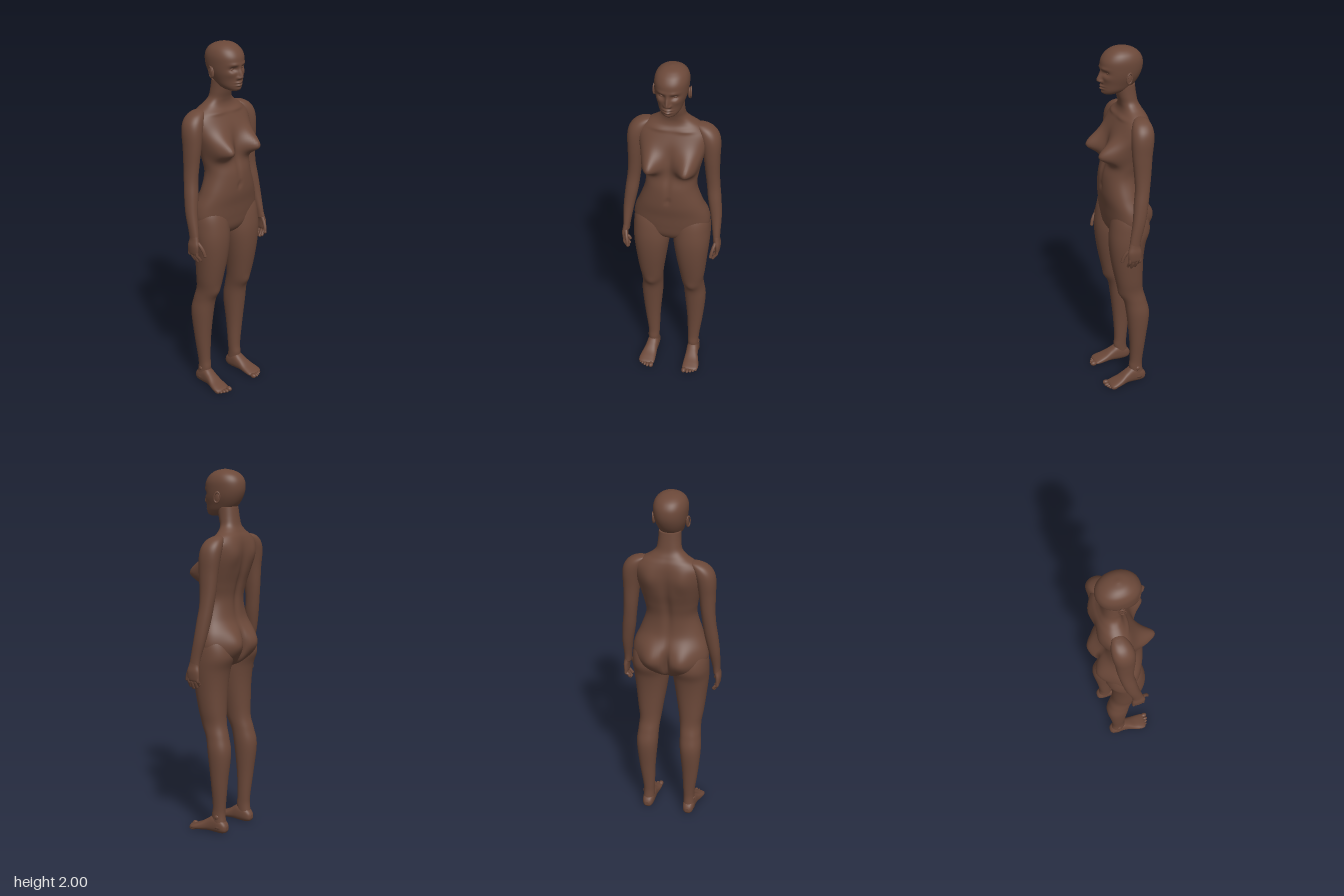
import * as THREE from 'three';

const skin = new THREE.MeshStandardMaterial({ color: 0x6b4839 });
skin.name = 'brown skin';

// Catmull-Rom value through four numbers
const spline = (a, b, c, d, t) =>
  0.5 * (2 * b + (c - a) * t + (2 * a - 5 * b + 4 * c - d) * t * t + (3 * b - a - 3 * c + d) * t * t * t);

// Loft along y through rows of [y, centreX, radiusX, zFront, zBack]
function loft(rows, { segs = 40, steps = 6, n = 2.15, shape = null } = {}) {
  const pos = [], index = [], last = rows.length - 1;
  const row = i => rows[Math.min(last, Math.max(0, i))];
  const rings = last * steps;
  for (let r = 0; r <= rings; r++) {
    const i = Math.min(last - 1, Math.floor(r / steps)), t = r / steps - i;
    const [y, cx, rx, zf, zb] = row(i).map((_, k) =>
      spline(row(i - 1)[k], row(i)[k], row(i + 1)[k], row(i + 2)[k], t));
    for (let j = 0; j < segs; j++) {
      const a = j / segs * Math.PI * 2, c = Math.cos(a), s = Math.sin(a);
      const p = new THREE.Vector3(
        cx + rx * Math.sign(c) * Math.abs(c) ** (2 / n), y,
        (zf + zb) / 2 + (zf - zb) / 2 * Math.sign(s) * Math.abs(s) ** (2 / n));
      if (shape) shape(p, s);
      pos.push(p.x, p.y, p.z);
    }
  }
  for (let r = 0; r < rings; r++) for (let j = 0; j < segs; j++) {
    const a = r * segs + j, b = r * segs + (j + 1) % segs;
    index.push(a, a + segs, b, b, a + segs, b + segs);
  }
  // close both ends
  const bottom = pos.length / 3, top = bottom + 1;
  const first = rows[0], end = rows[last];
  for (const e of [first, end]) pos.push(e[1], e[0], (e[3] + e[4]) / 2);
  for (let j = 0; j < segs; j++) {
    const k = (j + 1) % segs;
    index.push(bottom, j, k, top, rings * segs + k, rings * segs + j);
  }
  const g = new THREE.BufferGeometry();
  g.setAttribute('position', new THREE.Float32BufferAttribute(pos, 3));
  g.setIndex(index);
  g.computeVertexNormals();
  return g;
}

// Soft mound at (x, y); separate spread above and below the centre
const mound = (p, x, y, sx, up, down = up) => {
  const dx = (p.x - x) / sx, dy = (p.y - y) / (p.y > y ? up : down);
  return Math.exp(-(dx * dx + dy * dy));
};
const pair = (p, x, ...rest) => mound(p, x, ...rest) + mound(p, -x, ...rest);

function mirrored(geometry) {
  const g = geometry.clone().scale(-1, 1, 1), ix = g.index.array;
  for (let i = 0; i < ix.length; i += 3) [ix[i], ix[i + 1]] = [ix[i + 1], ix[i]];
  g.computeVertexNormals();
  return g;
}

function ball(x, y, z, rx, ry, rz, tilt = 0) {
  return new THREE.SphereGeometry(1, 20, 14).scale(rx, ry, rz).rotateX(tilt).translate(x, y, z);
}

export function createModel() {
  const model = new THREE.Group();
  model.name = 'standing figure';
  const add = (name, geometry) => {
    const mesh = new THREE.Mesh(geometry, skin);
    mesh.name = name;
    model.add(mesh);
  };
  const addPair = (name, geometry) => {
    add('left' + name, geometry);
    add('right' + name, mirrored(geometry));
  };

  // Torso and neck
  add('torso', loft([
    [0.93, 0, 0.02, 0.0, -0.05], [0.95, 0, 0.09, 0.05, -0.09], [0.99, 0, 0.178, 0.08, -0.115],
    [1.05, 0, 0.21, 0.09, -0.122], [1.12, 0, 0.204, 0.097, -0.115], [1.2, 0, 0.172, 0.108, -0.09],
    [1.3, 0, 0.14, 0.105, -0.085], [1.38, 0, 0.147, 0.085, -0.1], [1.46, 0, 0.165, 0.08, -0.122],
    [1.54, 0, 0.185, 0.06, -0.133], [1.6, 0, 0.185, 0.033, -0.133], [1.64, 0, 0.148, 0.01, -0.125],
    [1.67, 0, 0.1, 0.0, -0.11], [1.7, 0, 0.069, 0.003, -0.096], [1.74, 0, 0.061, 0.015, -0.088],
    [1.8, 0, 0.058, 0.03, -0.08],
  ], {
    segs: 96, steps: 7, n: 2.25,
    shape(p, s) {
      const w = THREE.MathUtils.smoothstep(Math.abs(s), 0, 0.5);
      if (s > 0) {
        p.z += w * (0.092 * pair(p, 0.105, 1.44, 0.056, 0.072, 0.045)
          - 0.01 * mound(p, 0, 1.235, 0.012, 0.014)
          - 0.006 * mound(p, 0, 1.33, 0.015, 0.08)
          + 0.008 * pair(p, 0.07, 1.63, 0.06, 0.012)
          - 0.012 * mound(p, 0, 1.46, 0.025, 0.07));
      } else {
        p.z -= w * (0.046 * pair(p, 0.085, 1.06, 0.07, 0.085, 0.07)
          - 0.042 * mound(p, 0, 1.04, 0.014, 0.075)
          - 0.014 * mound(p, 0, 1.38, 0.022, 0.17)
          + 0.016 * pair(p, 0.09, 1.55, 0.05, 0.07));
      }
    },
  }));

  // Head with brow, eye sockets, nose, cheeks and lips
  add('head', loft([
    [1.75, 0, 0.015, 0.078, 0.035], [1.758, 0, 0.036, 0.092, 0.0], [1.778, 0, 0.055, 0.099, -0.05],
    [1.81, 0, 0.068, 0.1, -0.085], [1.85, 0, 0.081, 0.102, -0.11], [1.89, 0, 0.087, 0.104, -0.123],
    [1.93, 0, 0.088, 0.1, -0.122], [1.96, 0, 0.079, 0.083, -0.107], [1.98, 0, 0.062, 0.06, -0.083],
    [1.993, 0, 0.039, 0.034, -0.052], [2.0, 0, 0.006, -0.002, -0.014],
  ], {
    segs: 112, steps: 9, n: 2.15,
    shape(p, s) {
      if (s <= 0) return;
      const w = THREE.MathUtils.smoothstep(s, 0.1, 0.7);
      p.z += w * (0.022 * mound(p, 0, 1.828, 0.012, 0.022, 0.009)
        + 0.012 * mound(p, 0, 1.856, 0.009, 0.025)
        + 0.011 * pair(p, 0.014, 1.825, 0.007, 0.008)
        - 0.015 * pair(p, 0.034, 1.872, 0.02, 0.013)
        + 0.005 * pair(p, 0.032, 1.895, 0.024, 0.009)
        + 0.005 * pair(p, 0.05, 1.845, 0.02, 0.018)
        + 0.011 * mound(p, 0, 1.799, 0.021, 0.006)
        + 0.012 * mound(p, 0, 1.786, 0.018, 0.006)
        - 0.006 * mound(p, 0, 1.7925, 0.024, 0.0025)
        + 0.005 * mound(p, 0, 1.765, 0.018, 0.01));
    },
  }));

  // Eyes and ears
  addPair('Eye', ball(0.034, 1.871, 0.072, 0.015, 0.0085, 0.013));
  addPair('Ear', ball(0.088, 1.848, -0.018, 0.008, 0.03, 0.017, -0.15));
  addPair('EarRim', new THREE.TorusGeometry(0.017, 0.004, 8, 28)
    .scale(0.95, 1.6, 1).rotateY(Math.PI / 2 + 0.3).rotateX(-0.15).translate(0.094, 1.85, -0.02));

  // Arms from wrist to shoulder
  addPair('Arm', loft([
    [0.95, 0.256, 0.018, 0.045, -0.015], [1.0, 0.253, 0.021, 0.038, -0.022], [1.1, 0.245, 0.03, 0.02, -0.05],
    [1.2, 0.231, 0.036, 0.008, -0.07], [1.28, 0.221, 0.036, -0.002, -0.082], [1.36, 0.213, 0.038, 0.0, -0.092],
    [1.46, 0.207, 0.044, 0.008, -0.1], [1.54, 0.201, 0.051, 0.01, -0.11], [1.59, 0.189, 0.053, 0.004, -0.112],
    [1.625, 0.17, 0.046, -0.01, -0.105], [1.645, 0.148, 0.033, -0.03, -0.09], [1.652, 0.135, 0.01, -0.05, -0.07],
  ]));

  // Hands: palm, four fingers and thumb
  addPair('Palm', loft([
    [0.878, 0.264, 0.006, 0.042, -0.015], [0.888, 0.264, 0.012, 0.05, -0.021], [0.93, 0.264, 0.016, 0.054, -0.022],
    [0.965, 0.257, 0.018, 0.046, -0.016], [1.0, 0.253, 0.019, 0.036, -0.02],
  ], { segs: 28 }));
  const digit = (name, points, r) => {
    const path = new THREE.CatmullRomCurve3(points.map(p => new THREE.Vector3(...p)));
    addPair(name, new THREE.TubeGeometry(path, 14, r, 10));
    addPair(name + 'Tip', ball(...points[points.length - 1], r, r, r));
  };
  [[0.043, 0.848], [0.024, 0.838], [0.004, 0.842], [-0.014, 0.858]].forEach(([z, tip], i) =>
    digit('Finger' + (i + 1), [
      [0.264, 0.9, z], [0.263, 0.875, z + 0.001], [0.252, tip + 0.012, z + 0.003], [0.244, tip, z + 0.004],
    ], 0.0085));
  digit('Thumb', [[0.255, 0.955, 0.035], [0.246, 0.925, 0.06], [0.24, 0.9, 0.072], [0.236, 0.878, 0.077]], 0.0095);

  // Legs from ankle to hip
  addPair('Leg', loft([
    [0.03, 0.124, 0.034, -0.02, -0.102], [0.1, 0.122, 0.032, -0.012, -0.09], [0.16, 0.122, 0.034, -0.018, -0.092],
    [0.3, 0.128, 0.046, -0.012, -0.107], [0.46, 0.128, 0.06, 0.005, -0.125], [0.55, 0.123, 0.059, 0.02, -0.108],
    [0.62, 0.118, 0.061, 0.05, -0.09], [0.7, 0.118, 0.072, 0.07, -0.086], [0.82, 0.115, 0.088, 0.092, -0.088],
    [0.92, 0.113, 0.1, 0.101, -0.1], [1.0, 0.112, 0.103, 0.096, -0.125], [1.08, 0.108, 0.098, 0.078, -0.11],
    [1.16, 0.1, 0.07, 0.04, -0.07],
  ], {
    segs: 48,
    shape(p, s) {
      if (s > 0) p.z += 0.008 * s * mound(p, 0.118, 0.6, 0.03, 0.035);
    },
  }));
  addPair('AnkleBone', ball(0.15, 0.095, -0.055, 0.009, 0.014, 0.014));

  // Feet, lofted from heel to toe as [z, x, radius, -sole, -instep]
  addPair('Foot', loft([
    [-0.11, 0.123, 0.012, -0.022, -0.045], [-0.1, 0.123, 0.025, -0.008, -0.062], [-0.075, 0.123, 0.033, -0.001, -0.085],
    [-0.03, 0.123, 0.035, -0.001, -0.1], [0.01, 0.126, 0.037, -0.004, -0.078], [0.05, 0.131, 0.044, -0.003, -0.052],
    [0.085, 0.134, 0.048, -0.001, -0.037], [0.108, 0.133, 0.045, -0.003, -0.027], [0.118, 0.13, 0.032, -0.008, -0.02],
  ], { segs: 36, n: 2.4 }).rotateX(Math.PI / 2));
  [[0.101, 0.126, 0.014], [0.123, 0.124, 0.01], [0.14, 0.117, 0.0095], [0.156, 0.108, 0.009], [0.17, 0.097, 0.009]]
    .forEach(([x, z, r], i) => addPair('Toe' + (i + 1), ball(x, r, z, r, r, 0.019)));

  return model;
}
